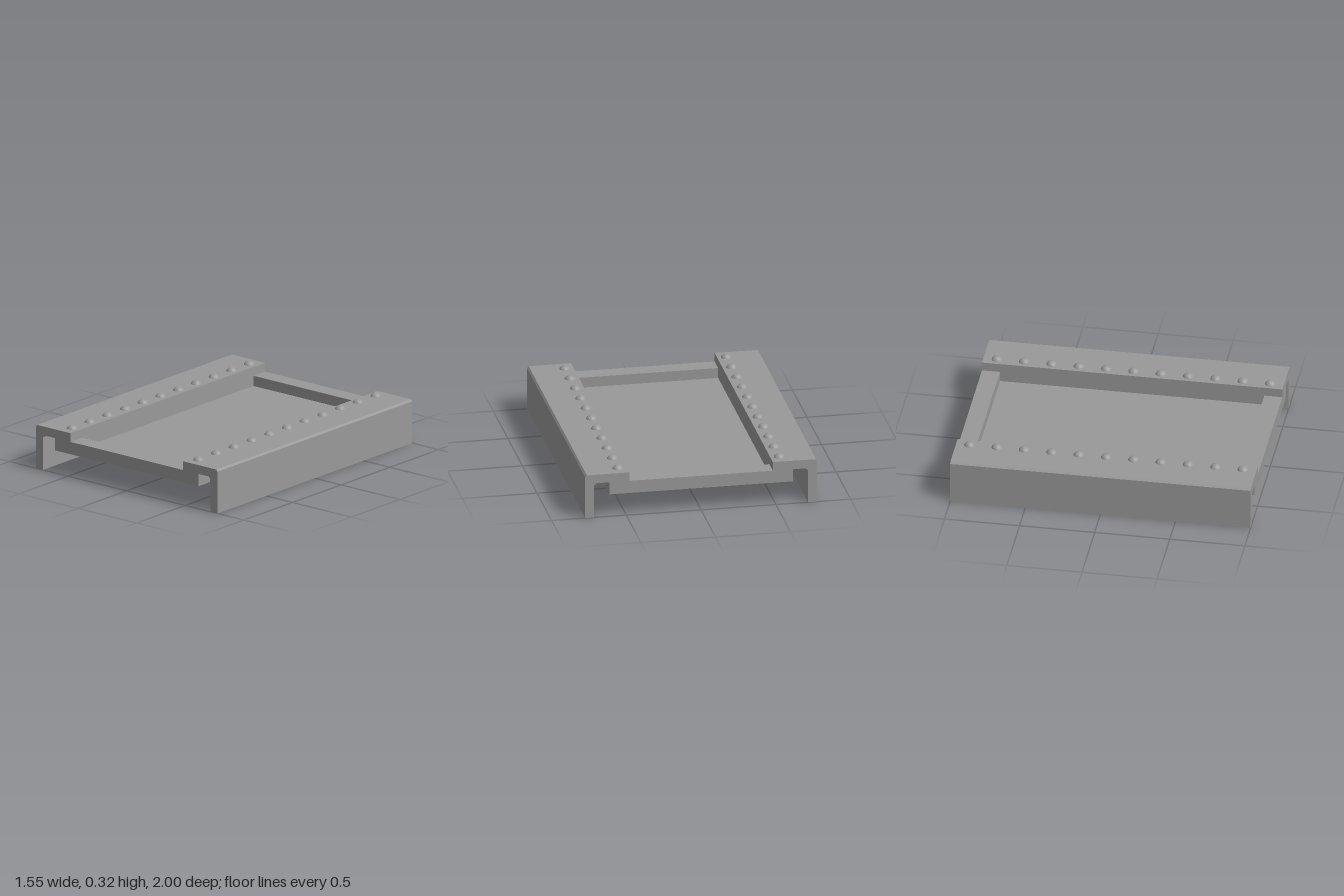
import * as THREE from 'three';

const material = new THREE.MeshStandardMaterial({ color: 0x999999, flatShading: true });
const smoothMaterial = new THREE.MeshStandardMaterial({ color: 0x999999 });

function add(parent, name, geometry, mat = material) {
  const mesh = new THREE.Mesh(geometry, mat);
  mesh.name = name;
  parent.add(mesh);
  return mesh;
}

function rectangle(path, hx, hz) {
  path.moveTo(-hx, -hz);
  path.lineTo(hx, -hz);
  path.lineTo(hx, hz);
  path.lineTo(-hx, hz);
  path.closePath();
  return path;
}

// Horizontal rectangular ring between two outlines (half sizes), from y0 to y1
function ring(outer, inner, y0, y1) {
  const shape = rectangle(new THREE.Shape(), ...outer);
  shape.holes.push(rectangle(new THREE.Path(), ...inner));
  return new THREE.ExtrudeGeometry(shape, { depth: y1 - y0, bevelEnabled: false })
    .rotateX(-Math.PI / 2)
    .translate(0, y0, 0);
}

// Angle rail section with chamfered bends, drawn for the given side
function railGeometry(side) {
  const points = [
    [0.48, 0.24], [0.7, 0.24], [0.715, 0.225], [0.715, 0],
    [0.775, 0], [0.775, 0.287], [0.764, 0.3], [0.48, 0.3],
  ];
  const shape = new THREE.Shape(points.map(([x, y]) => new THREE.Vector2(side * x, y)));
  return new THREE.ExtrudeGeometry(shape, { depth: 2, bevelEnabled: false }).translate(0, 0, -1);
}

export function createModel() {
  const model = new THREE.Group();
  model.name = 'railedTray';

  // Sheet tray: recessed floor, inner walls and flat rim, hollow underneath
  const sheet = 0.015, bottom = 0.155, top = 0.24, halfWidth = 0.613;
  const tray = new THREE.Group();
  tray.name = 'tray';
  model.add(tray);
  add(tray, 'trayFloor', new THREE.BoxGeometry(0.96, sheet, 1.76))
    .position.y = bottom + sheet / 2;
  add(tray, 'trayWalls', ring([0.48 + sheet, 0.88 + sheet], [0.48, 0.88], bottom, top - sheet));
  add(tray, 'trayRim', ring([halfWidth, 1], [0.48, 0.88], top - sheet, top));

  // End skirts with short returns at their corners
  const skirtHeight = top - sheet - bottom;
  const skirtY = bottom + skirtHeight / 2;
  for (const end of [1, -1]) {
    add(tray, 'endSkirt', new THREE.BoxGeometry(2 * halfWidth, skirtHeight, sheet))
      .position.set(0, skirtY, end * (1 - sheet / 2));
    for (const side of [1, -1]) {
      add(tray, 'skirtReturn', new THREE.BoxGeometry(sheet, skirtHeight, 0.12 - sheet))
        .position.set(side * (halfWidth - sheet / 2), skirtY, end * (0.94 - sheet / 2));
    }
  }

  // Side rails, each with a row of low domed rivets
  const dome = new THREE.SphereGeometry(0.039, 20, 8, 0, Math.PI * 2, 0, 1.176)
    .translate(0, -0.015, 0);
  for (const side of [1, -1]) {
    const rail = new THREE.Group();
    rail.name = side > 0 ? 'leftRail' : 'rightRail';
    model.add(rail);
    add(rail, 'angleRail', railGeometry(side));
    for (let i = -5; i <= 5; i++) {
      add(rail, 'rivet', dome, smoothMaterial).position.set(side * 0.54, 0.3, i * 0.182);
    }
  }
  return model;
}
